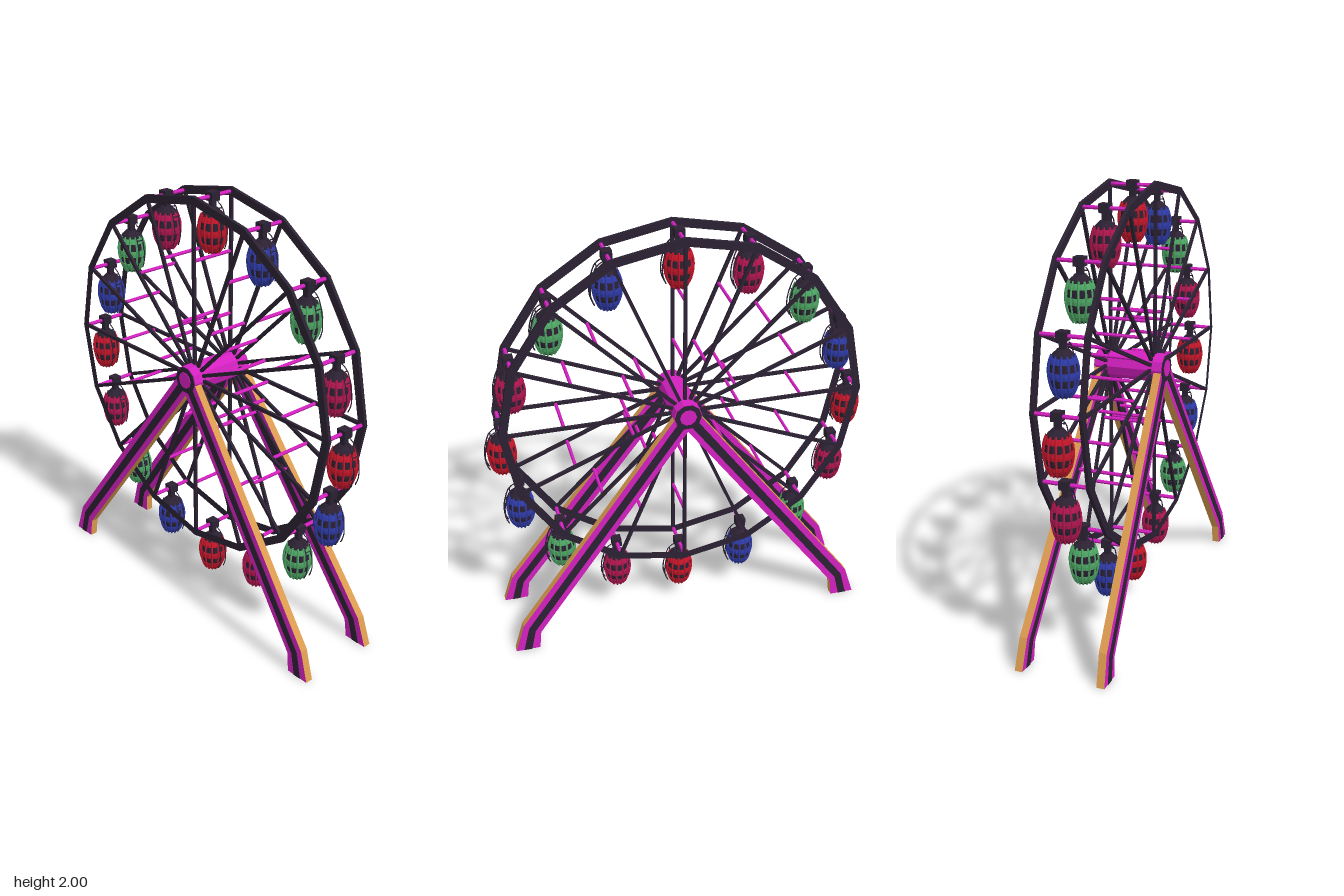
import * as THREE from 'three';
import { mergeGeometries } from 'three/addons/utils/BufferGeometryUtils.js';

const HUB_Y = 1.16, CZ = -0.007, COUNT = 16, WHEEL_X = 0.108, RIM_R = 0.82;

function material(name, color) {
  const m = new THREE.MeshStandardMaterial({ color });
  m.name = name;
  return m;
}

function mesh(name, geometry, mat, parent) {
  const m = new THREE.Mesh(geometry, mat);
  m.name = name;
  parent.add(m);
  return m;
}

// Flat-faced copy of a geometry
function faceted(g) {
  const f = g.index ? g.toNonIndexed() : g;
  f.computeVertexNormals();
  return f;
}

// Extrudes a (z, y) outline along x, centred on x = 0
function slab(points, width, hole) {
  const shape = new THREE.Shape(points.map(p => new THREE.Vector2(p[0], p[1])));
  if (hole) shape.holes.push(new THREE.Path(hole.map(p => new THREE.Vector2(p[0], p[1]))));
  const g = new THREE.ExtrudeGeometry(shape, { depth: width, bevelEnabled: false });
  g.translate(0, 0, -width / 2);
  return g.rotateY(-Math.PI / 2);
}

function polygon(r) {
  return Array.from({ length: COUNT }, (_, i) => {
    const a = i * Math.PI * 2 / COUNT;
    return [r * Math.sin(a), r * Math.cos(a)];
  });
}

function rod(radius, length, sides) {
  return faceted(new THREE.CylinderGeometry(radius, radius, length, sides)).rotateZ(Math.PI / 2);
}

// Cabin outline: height below the hanging point, radius
const PROFILE = [[-0.25, 0.03], [-0.225, 0.047], [-0.19, 0.058], [-0.15, 0.063],
  [-0.11, 0.059], [-0.075, 0.046], [-0.052, 0.026]];

function radiusAt(y) {
  for (let i = 1; i < PROFILE.length; i++) {
    const [y0, r0] = PROFILE[i - 1], [y1, r1] = PROFILE[i];
    if (y <= y1) return r0 + (r1 - r0) * (y - y0) / (y1 - y0);
  }
  return PROFILE[PROFILE.length - 1][1];
}

function lathe(points) {
  return faceted(new THREE.LatheGeometry(points.map(p => new THREE.Vector2(p[0], p[1])), 12));
}

function cabinGeometries() {
  // Dark glazed core with closed ends
  const core = lathe([[0, -0.25], ...PROFILE.map(([y, r]) => [r - 0.002, y]), [0, -0.052]]);

  // Coloured cage: horizontal bands and upright ribs
  const cage = [[-0.24, -0.205], [-0.172, -0.142], [-0.108, -0.085]].map(([a, b]) => {
    const mid = (a + b) / 2;
    return lathe([[radiusAt(a) - 0.004, a], [radiusAt(a) + 0.002, a], [radiusAt(mid) + 0.003, mid],
      [radiusAt(b) + 0.002, b], [radiusAt(b) - 0.004, b]]);
  });
  const ribPath = new THREE.CatmullRomCurve3(
    PROFILE.slice(0, 6).map(([y, r]) => new THREE.Vector3(r, y, 0)));
  for (let i = 0; i < 12; i++) {
    cage.push(faceted(new THREE.TubeGeometry(ribPath, 8, 0.005, 4)).rotateY((i + 0.5) * Math.PI / 6));
  }

  // Hanger block, neck, cap and raised door frame
  const frame = [
    new THREE.BoxGeometry(0.045, 0.04, 0.045).toNonIndexed(),
    new THREE.BoxGeometry(0.025, 0.05, 0.025).translate(0, -0.04, 0).toNonIndexed(),
    faceted(new THREE.CylinderGeometry(0.024, 0.046, 0.02, 12)).translate(0, -0.064, 0)
  ];
  for (const x of [-0.016, 0.016]) {
    const path = new THREE.CatmullRomCurve3([[0.015, -0.025], [0.045, -0.045], [0.064, -0.09],
      [0.075, -0.14], [0.074, -0.19], [0.06, -0.225]].map(([z, y]) => new THREE.Vector3(x, y, z)));
    frame.push(faceted(new THREE.TubeGeometry(path, 10, 0.003, 4)));
  }
  for (const [y, z] of [[-0.045, 0.045], [-0.09, 0.064]]) {
    frame.push(rod(0.003, 0.032, 4).translate(0, y, z));
  }
  return { core, cage: mergeGeometries(cage), frame: mergeGeometries(frame) };
}

export function createModel() {
  const dark = material('dark purple', 0x2b2132);
  const magenta = material('magenta', 0xd420c0);
  const orange = material('orange', 0xdc9c50);
  const paints = [material('red', 0xc4162a), material('crimson', 0xb0164f),
    material('green', 0x4ea765), material('blue', 0x2f3ba8)];

  const model = new THREE.Group();
  model.name = 'ferrisWheel';

  const wheel = new THREE.Group();
  wheel.name = 'wheel';
  wheel.position.set(0, HUB_Y, CZ);
  model.add(wheel);

  // Hub with dark end rings and magenta centres
  mesh('hub', rod(0.066, 0.324, 10), magenta, wheel);
  for (const s of [-1, 1]) {
    mesh('hubRing', rod(0.062, 0.006, 10), dark, wheel).position.x = s * 0.163;
    mesh('hubCentre', rod(0.039, 0.006, 10), magenta, wheel).position.x = s * 0.166;
  }

  // Two rims with spokes
  const rim = slab(polygon(0.84), 0.016, polygon(0.803));
  const spoke = new THREE.BoxGeometry(0.013, RIM_R - 0.03, 0.015).translate(0, (RIM_R + 0.03) / 2, 0);
  for (const s of [-1, 1]) {
    mesh('rim', rim, dark, wheel).position.x = s * WHEEL_X;
    for (let i = 0; i < COUNT; i++) {
      const m = mesh('spoke', spoke, dark, wheel);
      m.position.x = s * WHEEL_X;
      m.rotation.x = i * Math.PI * 2 / COUNT;
    }
  }

  // Cross rods joining the two rims, in three circles
  for (const [r, thick] of [[RIM_R, 0.009], [0.55, 0.008], [0.255, 0.008]]) {
    const g = rod(thick, WHEEL_X * 2, 6);
    for (const [z, y] of polygon(r)) mesh('crossRod', g, magenta, wheel).position.set(0, y, z);
  }

  // Cabins hang upright from the rim corners
  const parts = cabinGeometries();
  for (let i = 0; i < COUNT; i++) {
    const a = i * Math.PI * 2 / COUNT;
    const cabin = new THREE.Group();
    cabin.name = 'cabin';
    cabin.position.set(0, RIM_R * Math.cos(a), -RIM_R * Math.sin(a));
    mesh('cabinCore', parts.core, dark, cabin);
    mesh('cabinCage', parts.cage, paints[i % 4], cabin);
    mesh('cabinFrame', parts.frame, dark, cabin);
    wheel.add(cabin);
  }

  // Leaning legs with magenta side faces, orange edges and a dark stripe
  const legLine = [[0.745, 0], [0.86, 0], [0.816, 0.14], [0.036, 1.187], [-0.036, 1.133], [0.735, 0.09]];
  const stripeLine = [[0.785, 0.001], [0.822, 0.001], [0.791, 0.122], [0.015, 1.171], [-0.015, 1.149], [0.761, 0.104]];
  for (const sx of [-1, 1]) {
    for (const sz of [-1, 1]) {
      const leg = new THREE.Group();
      leg.name = sz > 0 ? 'frontLeg' : 'backLeg';
      leg.position.z = CZ;
      for (const [name, line, width, mat] of [
        ['legBeam', legLine, 0.036, [magenta, orange]], ['legStripe', stripeLine, 0.042, dark]]) {
        const g = slab(line.map(([z, y]) => [z * sz, y]), width);
        const p = g.attributes.position;
        for (let i = 0; i < p.count; i++) p.setX(i, p.getX(i) + sx * (0.19 - 0.041 * p.getY(i)));
        g.computeVertexNormals();
        mesh(name, g, mat, leg);
      }
      model.add(leg);
    }
  }
  return model;
}
